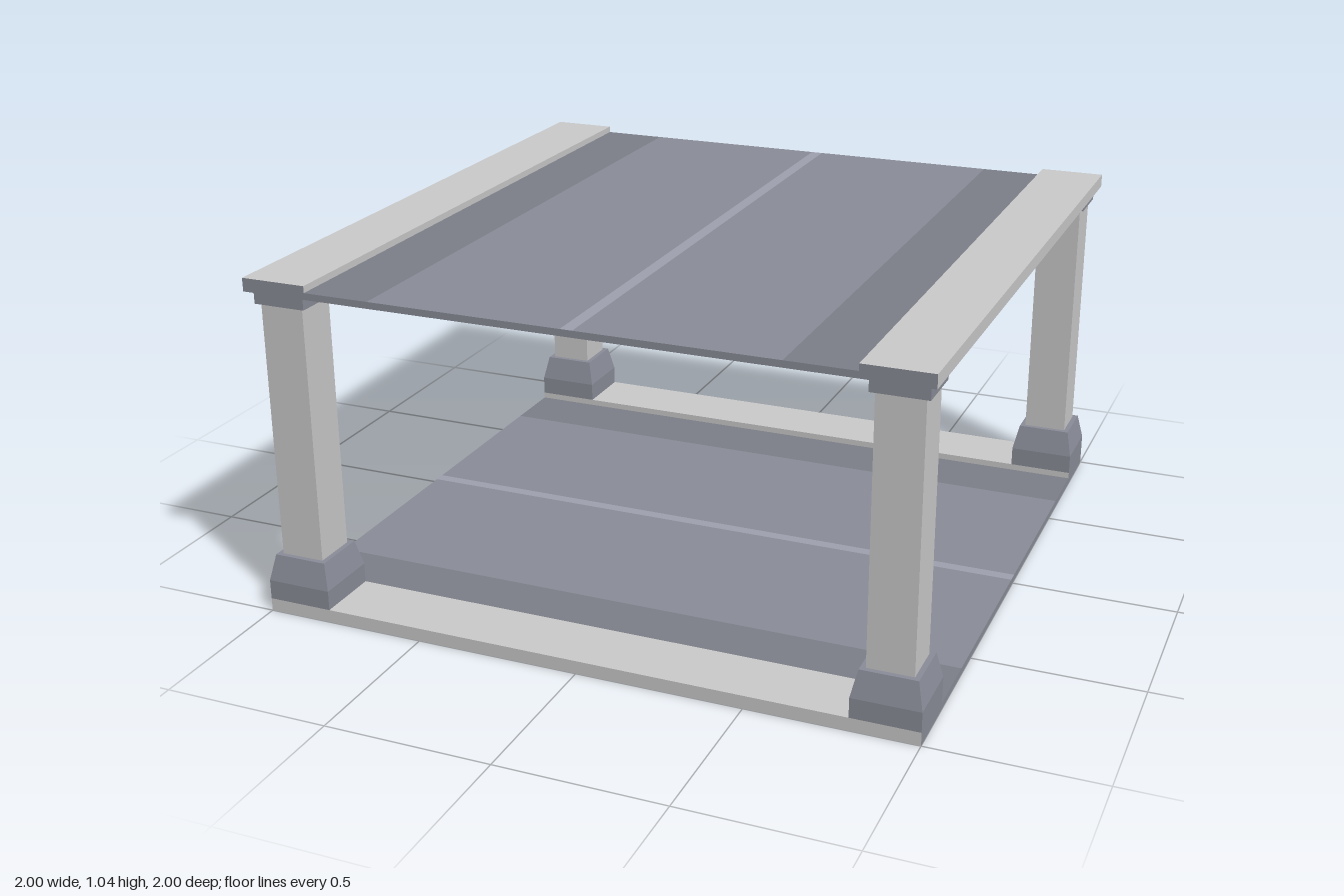
import * as THREE from 'three';

const paint = (color) => new THREE.MeshStandardMaterial({ color, flatShading: true });
const grey = paint(0xcccccc);
const slate = paint(0x8b8d99);
const shoulderTone = paint(0x7d808a);
const lineTone = paint(0xa0a2b0);

function box(name, w, h, d, x, y, z, material) {
  const mesh = new THREE.Mesh(new THREE.BoxGeometry(w, h, d), material);
  mesh.name = name;
  mesh.position.set(x, y + h / 2, z);
  return mesh;
}

// Road deck running along z, with a raised pavement on each side
function createDeck(name) {
  const deck = new THREE.Group();
  deck.name = name;
  // face order: +x, -x, top, bottom, +z, -z
  const strip = (label, x0, x1, h, top, side) => deck.add(
    box(label, x1 - x0, h, 2, (x0 + x1) / 2, 0, 0, [side, side, top, grey, slate, slate]));
  for (const [side, s] of [['left', 1], ['right', -1]]) {
    const add = (label, a, b, ...rest) =>
      strip(side + label, Math.min(s * a, s * b), Math.max(s * a, s * b), ...rest);
    add('Pavement', 0.8, 1, 0.04, grey, grey);
    add('Shoulder', 0.6, 0.8, 0.02, shoulderTone, slate);
    add('Lane', 0.018, 0.6, 0.02, slate, slate);
  }
  strip('centreLine', -0.018, 0.018, 0.02, lineTone, slate);
  return deck;
}

// Square pillar with a tapered foot and a flat capital
function createPillar() {
  const pillar = new THREE.Group();
  const taper = new THREE.CylinderGeometry(0.165 / Math.SQRT2, 0.2 / Math.SQRT2, 0.08, 4);
  taper.rotateY(Math.PI / 4);
  const foot = new THREE.Mesh(taper, slate);
  foot.name = 'footTaper';
  foot.position.y = 0.14;
  pillar.add(
    box('footBlock', 0.2, 0.06, 0.2, 0, 0.04, 0, slate),
    foot,
    box('shaft', 0.134, 0.78, 0.134, 0, 0.18, 0, grey),
    box('capital', 0.16, 0.04, 0.16, 0, 0.96, 0, slate));
  return pillar;
}

export function createModel() {
  const model = new THREE.Group();
  model.name = 'crossingDecks';

  // Lower road runs across, upper road runs front to back
  const lower = createDeck('lowerDeck');
  lower.rotation.y = Math.PI / 2;
  const upper = createDeck('upperDeck');
  upper.position.y = 1;
  model.add(lower, upper);

  // One pillar at each corner
  for (const x of [-0.9, 0.9]) for (const z of [-0.9, 0.9]) {
    const pillar = createPillar();
    pillar.name = (z > 0 ? 'front' : 'back') + (x > 0 ? 'Left' : 'Right') + 'Pillar';
    pillar.position.set(x, 0, z);
    model.add(pillar);
  }
  return model;
}
